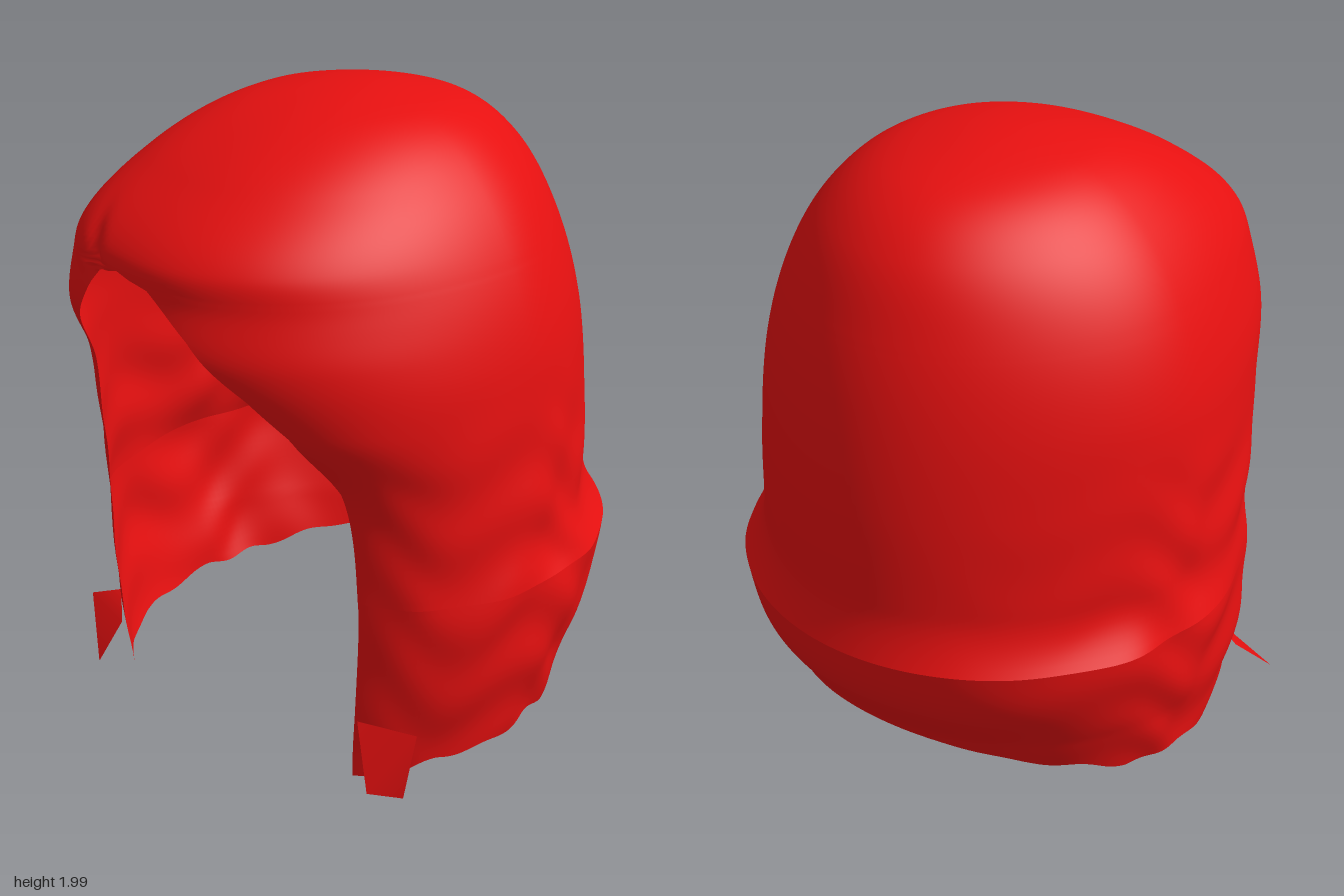
import * as THREE from 'three';
import { mergeVertices } from 'three/addons/utils/BufferGeometryUtils.js';

const { smoothstep, lerp } = THREE.MathUtils;

// Smooth curve through [y, value] pairs, spaced so that a rounded crown stays round
const depth = y => Math.sqrt(Math.max(0, 2 - y));
function smooth(pairs) {
  const curve = new THREE.CubicInterpolant(pairs.map(p => depth(p[0])), pairs.map(p => p[1]), 1);
  return y => curve.evaluate(depth(y))[0];
}
// Straight-line curve through [key, value] pairs with falling keys
function linear(pairs) {
  return k => {
    if (k >= pairs[0][0]) return pairs[0][1];
    for (let i = 1; i < pairs.length; i++) {
      const [k0, v0] = pairs[i - 1], [k1, v1] = pairs[i];
      if (k >= k1) return v0 + (v1 - v0) * (k0 - k) / (k0 - k1);
    }
    return pairs[pairs.length - 1][1];
  };
}

// Half width, back depth and front depth (left and right) of the horizontal sections
const halfWidth = smooth([[2, 0], [1.98, 0.195], [1.95, 0.305], [1.8, 0.51], [1.6, 0.64], [1.35, 0.72],
  [1.1, 0.745], [0.8, 0.76], [0.5, 0.775], [0.25, 0.74], [0, 0.68]]);
const backDepth = smooth([[2, 0], [1.98, 0.2], [1.92, 0.41], [1.8, 0.565], [1.6, 0.67], [1.4, 0.73],
  [1.1, 0.775], [0.8, 0.785], [0.63, 0.785], [0.45, 0.75], [0.28, 0.65], [0, 0.5]]);
const crownFront = [[2, 0], [1.98, 0.2], [1.92, 0.4], [1.82, 0.6], [1.65, 0.81], [1.55, 0.825]];
const frontLeft = smooth([...crownFront, [1.4, 0.85], [1.2, 0.74], [1, 0.575], [0.6, 0.505], [0, 0.505]]);
const frontRight = smooth([...crownFront, [1.4, 0.82], [1.2, 0.7], [1, 0.645], [0.6, 0.6], [0, 0.59]]);

// Edges of the face opening
const openLeft = linear([[1.6, -0.08], [1.58, 0.05], [1.47, 0.2], [1.32, 0.35], [1.2, 0.43],
  [1, 0.48], [0.6, 0.49], [0.1, 0.47]]);
const openRight = linear([[1.6, -0.08], [1.575, -0.19], [1.42, -0.3], [1.25, -0.4], [0.95, -0.49],
  [0.62, -0.54], [0.1, -0.52]]);
// Hem height by the cosine of the angle: front to back
const hem = linear([[0.8, 0], [0.65, 0.02], [0.4, 0.08], [0, 0.1], [-0.4, 0.12], [-0.8, 0.2], [-1, 0.26]]);

function angleAt(row, s) {
  const w = Math.max(halfWidth(row), 0.63);
  const a = Math.asin(openLeft(row) / w);
  const b = Math.PI * 2 + Math.asin(openRight(row) / w);
  return a + (b - a) * s;
}

function surfacePoint(angle, y) {
  const sn = Math.sin(angle), cs = Math.cos(angle);
  const left = smoothstep(sn, -0.5, 0.5);
  const front = lerp(frontRight(y), frontLeft(y), left);
  // Rumpled hair on the lower sides
  const rough = sn ** 4 * smoothstep(1.3 - y, 0, 0.5);
  const lump = rough * 0.009 * (Math.sin(y * 23 + angle * 5 + 2 * Math.sin(angle * 7)) + Math.sin(y * 11 - angle * 13));
  // Flare to a crease at the step above the nape
  const step = y > 0.63 ? Math.max(0, 1 - (y - 0.63) / 0.16) ** 2 : Math.max(0, (y - 0.3) / 0.33);
  const size = 1 + lump + 0.042 * step * smoothstep(-cs, -0.3, 0.5);
  const x = halfWidth(y) * sn * size;
  // Fuller front corners lower down, slimmer back corners above the step
  const low = 1 - smoothstep(y, 1, 1.5);
  const frontCorner = lerp(lerp(0.28, 0.48, low), lerp(0.05, 0.35, low), left);
  const backCorner = -0.15 + 0.15 * (y > 0.63 ? step : 1);
  const corner = 1 + sn * sn * (cs > 0 ? frontCorner : backCorner);
  let z = (cs > 0 ? front : backDepth(y)) * cs * corner * size;
  // Groove of the parting
  const part = (x + 0.2 + 0.4 * (y - 1.58)) / 0.035;
  if (cs > 0) z -= 0.025 * Math.exp(-part * part - ((y - 1.62) / 0.08) ** 2);
  return [x, y, z];
}

// Grid of points joined into a smooth open sheet
function sheet(rows, cols, point) {
  const pos = [], index = [];
  for (let r = 0; r <= rows; r++) for (let c = 0; c <= cols; c++) pos.push(...point(r / rows, c / cols));
  for (let r = 0; r < rows; r++) for (let c = 0; c < cols; c++) {
    const i = r * (cols + 1) + c, j = i + cols + 1;
    index.push(i, j, i + 1, i + 1, j, j + 1);
  }
  let geo = new THREE.BufferGeometry();
  geo.setAttribute('position', new THREE.Float32BufferAttribute(pos, 3));
  geo.setIndex(index);
  geo = mergeVertices(geo, 1e-5);
  geo.computeVertexNormals();
  return geo;
}

export function createModel() {
  const group = new THREE.Group();
  const red = new THREE.MeshStandardMaterial({ color: 0xe61010, side: THREE.DoubleSide });
  red.name = 'red hair';
  const add = (name, geo) => {
    const mesh = new THREE.Mesh(geo, red);
    mesh.name = name;
    group.add(mesh);
  };

  // Crown and sides, down to the step at the nape
  const last = depth(0.63);
  add('hairCap', sheet(130, 180, (v, s) => {
    const y = 2 - (v * last) ** 2;
    return surfacePoint(angleAt(y, s), y);
  }));

  // Lower hair, curling in from the step to the hem
  add('lowerHair', sheet(24, 180, (v, s) => {
    const angle = angleAt(0.63 - 0.53 * v, s);
    const low = Math.max(0, hem(Math.cos(angle)) + 0.01 * Math.sin(angle * 19) * Math.sin(angle) ** 2);
    return surfacePoint(angle, 0.63 + (low - 0.63) * v);
  }));

  // Ragged lock tips at the front corners
  const tip = (name, points) => {
    const geo = new THREE.BufferGeometry();
    geo.setAttribute('position', new THREE.Float32BufferAttribute(points, 3));
    geo.setIndex([0, 1, 2, 2, 1, 3]);
    geo.computeVertexNormals();
    add(name, geo);
  };
  tip('rightLockTip', [-0.66, 0.2, 0.42, -0.78, 0.15, 0.45, -0.52, 0.18, 0.53, -0.55, 0.05, 0.61]);
  tip('leftLockTip', [0.48, 0.22, 0.44, 0.55, 0.01, 0.47, 0.64, 0.2, 0.35, 0.69, 0.06, 0.46]);
  return group;
}
